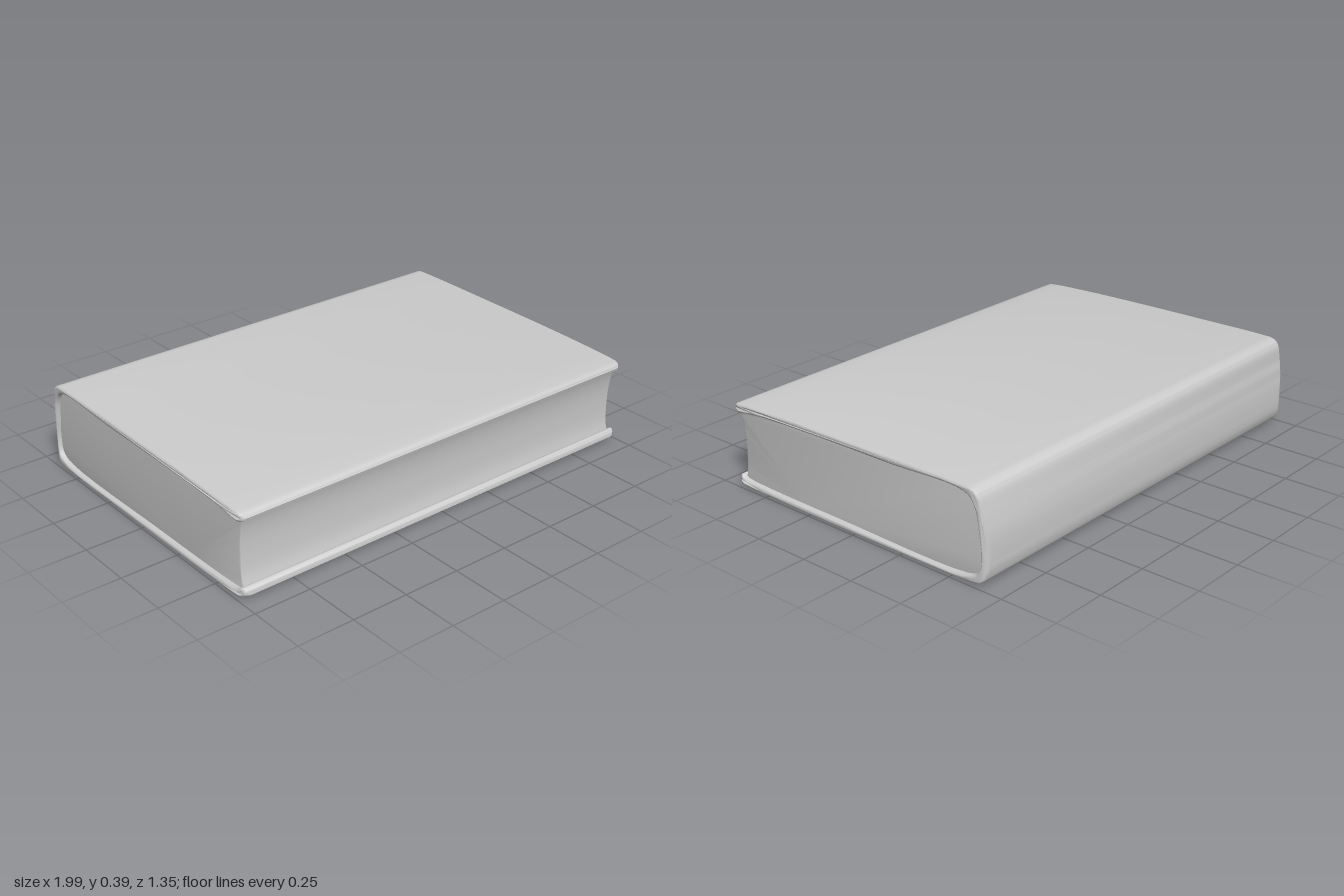
import * as THREE from 'three';
import { toCreasedNormals } from 'three/addons/utils/BufferGeometryUtils.js';

const material = new THREE.MeshStandardMaterial({ color: 0xcccccc });

// Smooth line through [z, y] points, as 2D points with z mirrored for extruding along x
function smooth(points, count) {
  const curve = new THREE.CatmullRomCurve3(points.map(([z, y]) => new THREE.Vector3(-z, y, 0)), false, 'centripetal');
  return curve.getPoints(count).map((p) => new THREE.Vector2(p.x, p.y));
}

// Extrudes a side profile across the full width (centred on x) with softened ends
function extrudeAcross(outline, width, bevel) {
  const geometry = new THREE.ExtrudeGeometry(new THREE.Shape(outline), {
    depth: width - 2 * bevel, steps: 1,
    bevelThickness: bevel, bevelSize: bevel, bevelOffset: -bevel, bevelSegments: 3,
  });
  geometry.translate(0, 0, -width / 2 + bevel);
  geometry.rotateY(Math.PI / 2);
  return geometry;
}

// Pulls the ends inward near the front and back edges, rounding the corners in plan
function roundCorners(geometry, front, back, radius) {
  const p = geometry.attributes.position;
  for (let i = 0; i < p.count; i++) {
    const z = p.getZ(i);
    const over = Math.max(0, z - (front - radius), back + radius - z);
    const t = Math.min(over / radius, 1);
    const inset = radius * 0.7 * (1 - Math.sqrt(1 - t * t));
    p.setX(i, p.getX(i) - Math.sign(p.getX(i)) * inset);
  }
}

function addPart(group, name, geometry) {
  geometry.deleteAttribute('normal');
  geometry.deleteAttribute('uv');
  const mesh = new THREE.Mesh(toCreasedNormals(geometry, 0.7), material);
  mesh.name = name;
  group.add(mesh);
}

export function createModel() {
  const book = new THREE.Group();
  book.name = 'book';

  // Cover: one wrapped sheet, from the top board round the bowed spine to the bottom board
  const outer = smooth([
    [0.672, 0.35], [0.66, 0.364], [0.62, 0.371], [0.45, 0.379], [0.2, 0.385], [-0.2, 0.389], [-0.55, 0.39],
    [-0.61, 0.386], [-0.636, 0.368], [-0.655, 0.3], [-0.673, 0.2], [-0.675, 0.12], [-0.669, 0.06],
    [-0.65, 0.023], [-0.6, 0.011], [-0.3, 0.006], [0.1, 0.003], [0.5, 0.007], [0.64, 0.012], [0.674, 0.025],
  ], 110);
  const inner = smooth([
    [0.672, 0.044], [0.655, 0.054], [0.63, 0.042], [0.55, 0.034], [0.1, 0.028], [-0.58, 0.034],
    [-0.635, 0.06], [-0.648, 0.12], [-0.642, 0.2], [-0.62, 0.32], [-0.58, 0.361], [-0.2, 0.36],
    [0.2, 0.356], [0.5, 0.347], [0.64, 0.332], [0.667, 0.336],
  ], 100);
  const cover = extrudeAcross([...outer, ...inner], 1.99, 0.009);
  roundCorners(cover, 0.675, -0.675, 0.045);
  addPart(book, 'cover', cover);

  // Page block: hollow fore edge in front, tucked into the cover on the other sides
  const foreEdge = smooth([
    [0.655, 0.345], [0.642, 0.3], [0.633, 0.24], [0.63, 0.16], [0.633, 0.09], [0.645, 0.03],
  ], 20);
  const backEdge = smooth([
    [0.3, 0.015], [-0.58, 0.02], [-0.65, 0.07], [-0.66, 0.14], [-0.645, 0.25], [-0.62, 0.35],
    [-0.57, 0.375], [0.1, 0.37], [0.5, 0.36],
  ], 40);
  addPart(book, 'pageBlock', extrudeAcross([...foreEdge, ...backEdge], 1.945, 0.006));

  return book;
}
